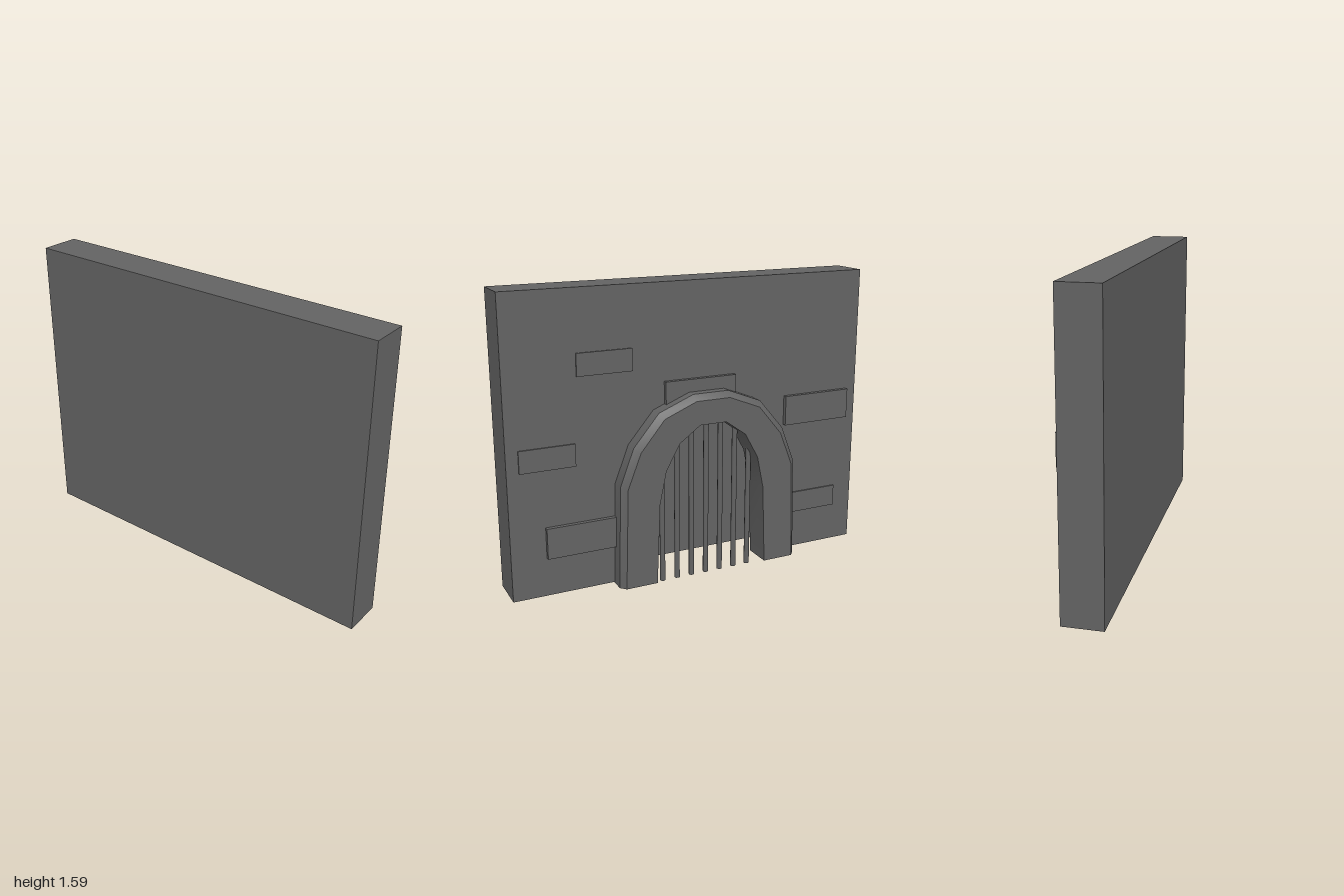
import * as THREE from 'three';
import { toCreasedNormals } from 'three/addons/utils/BufferGeometryUtils.js';

const material = new THREE.MeshStandardMaterial({ color: 0x636363, side: THREE.DoubleSide });

const BASE = 0.043, TOP = 1.587, FRONT = 0.154, BACK = -0.053, DOOR_X = -0.06;

// half outlines of the arch, from the foot to the crown, measured from its middle
const INNER = [[0.32, 0.038], [0.302, 0.47], [0.265, 0.645], [0.19, 0.78], [0.075, 0.863]];
const OUTER = [[0.52, 0.038], [0.505, 0.585], [0.43, 0.78], [0.29, 0.945], [0.1, 1.021]];
const RIM = [[0.493, 0.038], [0.476, 0.575], [0.403, 0.76], [0.272, 0.918], [0.095, 0.99]];

// full outline from +x foot over the crown to the -x foot
function mirrored(half) {
  const other = half.map(([x, y]) => [-x, y]).reverse();
  return [...half, ...other].map(([x, y]) => [x + DOOR_X, y]);
}

function add(group, name, geometry, x = 0, y = 0, z = 0) {
  const mesh = new THREE.Mesh(geometry, material);
  mesh.name = name;
  mesh.position.set(x, y, z);
  group.add(mesh);
}

// arch: one five-sided cross-section swept through mirrored stations,
// smooth along the curve and sharp at the long edges
function archGeometry() {
  const inner = mirrored(INNER), outer = mirrored(OUTER), rim = mirrored(RIM);
  const sections = inner.map((p, i) => [
    [...p, 0],
    [...outer[i], 0],
    [...outer[i], -0.125],
    [...rim[i], -0.155],
    [...p, -0.155],
  ]);
  const pos = [];
  const tri = (a, b, c) => pos.push(...a, ...b, ...c);
  for (let i = 0; i + 1 < sections.length; i++) {
    const s = sections[i], t = sections[i + 1];
    for (let j = 0; j < 5; j++) {
      const k = (j + 1) % 5;
      tri(s[j], t[k], t[j]);
      tri(s[j], s[k], t[k]);
    }
  }
  // feet
  const first = sections[0], last = sections[sections.length - 1];
  for (let j = 1; j < 4; j++) {
    tri(first[0], first[j + 1], first[j]);
    tri(last[0], last[j], last[j + 1]);
  }
  const g = new THREE.BufferGeometry();
  g.setAttribute('position', new THREE.Float32BufferAttribute(pos, 3));
  return toCreasedNormals(g, 0.68);
}

// hollow wall, open underneath, with a doorway cut in its back panel
function buildWall() {
  const wall = new THREE.Group();
  wall.name = 'wall';
  const h = TOP - BASE, d = FRONT - BACK, midY = (TOP + BASE) / 2, midZ = (FRONT + BACK) / 2;
  add(wall, 'frontPanel', new THREE.PlaneGeometry(2, h), 0, midY, FRONT);
  add(wall, 'topPanel', new THREE.PlaneGeometry(2, d).rotateX(-Math.PI / 2), 0, TOP, midZ);
  for (const s of [1, -1]) {
    add(wall, s > 0 ? 'leftPanel' : 'rightPanel',
      new THREE.PlaneGeometry(d, h).rotateY(s * Math.PI / 2), s, midY, midZ);
  }
  const door = mirrored(INNER.map(([x, y]) => [x + 0.02, y + 0.02]));
  door[0][1] = door[door.length - 1][1] = BASE;
  const outline = [[1, TOP], [-1, TOP], [-1, BASE], ...door.reverse(), [1, BASE]];
  const shape = new THREE.Shape(outline.map(([x, y]) => new THREE.Vector2(-x, y)));
  add(wall, 'backPanel', new THREE.ShapeGeometry(shape).rotateY(Math.PI), 0, 0, BACK);
  return wall;
}

export function createModel() {
  const model = new THREE.Group();
  model.name = 'archwayWall';
  model.add(buildWall());
  add(model, 'arch', archGeometry());

  // raised bricks: right and left edge, bottom, top, how far they stand out
  const bricks = [
    [0.34, 0.632, 1.158, 1.273, 0.008],
    [0.65, 0.938, 0.708, 0.824, 0.008],
    [-0.885, -0.597, 0.252, 0.369, 0.008],
    [0.42, 0.818, 0.248, 0.41, 0.023],
    [-0.23, 0.168, 0.927, 1.087, 0.023],
    [-0.938, -0.54, 0.772, 0.933, 0.023],
  ];
  for (const [x0, x1, y0, y1, out] of bricks) {
    const depth = out + 0.02;
    add(model, 'brick', new THREE.BoxGeometry(x1 - x0, y1 - y0, depth),
      (x0 + x1) / 2, (y0 + y1) / 2, BACK - out + depth / 2);
  }

  // gate bars, each reaching up into the arch
  for (let i = 0; i < 7; i++) {
    const x = -0.322 + i * 0.085;
    const off = Math.abs(x - DOOR_X);
    const height = 0.89 - 1.9 * off * off;
    add(model, 'gateBar', new THREE.CylinderGeometry(0.015, 0.015, height, 8), x, height / 2, -0.058);
  }
  return model;
}
